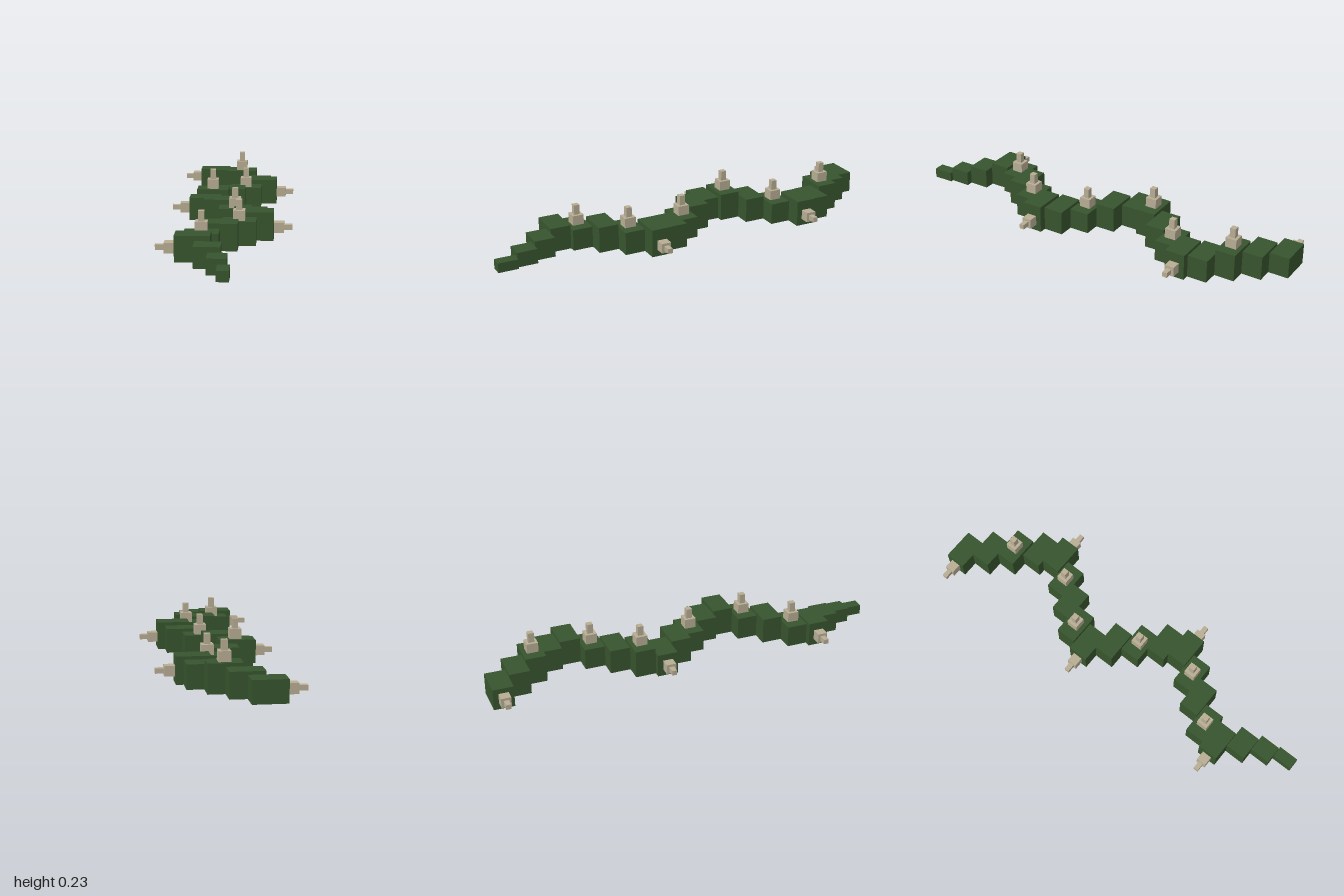
import * as THREE from 'three';

export function createModel() {
  const model = new THREE.Group();
  model.name = 'thornyVine';

  const green = new THREE.MeshStandardMaterial({ color: 0x37542d });
  green.name = 'vine green';
  const bone = new THREE.MeshStandardMaterial({ color: 0xb8ad94 });
  bone.name = 'thorn beige';

  function box(parent, name, material, size, position) {
    const mesh = new THREE.Mesh(new THREE.BoxGeometry(...size), material);
    mesh.name = name;
    mesh.position.set(...position);
    parent.add(mesh);
  }

  // Two-step thorn standing on its local origin, pointing along +y
  function thorn(name, width, baseHeight, tipHeight, position, tilt = 0) {
    const group = new THREE.Group();
    group.name = name;
    box(group, 'thornBase', bone, [width, baseHeight, width], [0, baseHeight / 2, 0]);
    box(group, 'thornTip', bone, [width / 2, tipHeight, width / 2], [0, baseHeight + tipHeight / 2, 0]);
    group.position.set(...position);
    group.rotation.z = tilt;
    model.add(group);
  }

  // Tapering front end: centre x, width, height
  const tip = [[0.015, 0.056, 0.048], [-0.017, 0.088, 0.073], [-0.065, 0.12, 0.097]];
  // Zigzag body: repeating centres and heights
  const sway = [-0.136, -0.105, -0.025, 0.055, 0.135, 0.1, 0.022, -0.057];
  const heights = [0.12, 0.105, 0.128, 0.113, 0.136];
  const topThorns = [1, 3, 6, 9, 11, 14];

  tip.forEach(([x, w, h], i) => {
    box(model, 'vineTip', green, [w, h, 0.1], [x, h / 2, 0.95 - i * 0.1]);
  });

  for (let i = 0; i < 17; i++) {
    const x = sway[i % 8];
    const h = heights[i % 5];
    const z = 0.65 - i * 0.1;
    box(model, 'vineSegment', green, [0.159, h, 0.1], [x, h / 2, z]);
    if (topThorns.includes(i)) thorn('topThorn', 0.056, 0.048, 0.048, [x, h, z]);
    // Side thorns at the outermost bend of each zigzag
    if (i % 4 === 0) {
      const side = Math.sign(x);
      thorn('sideThorn', 0.048, 0.048, 0.04, [side * 0.215, 0.057, z], -side * Math.PI / 2);
    }
  }
  return model;
}
